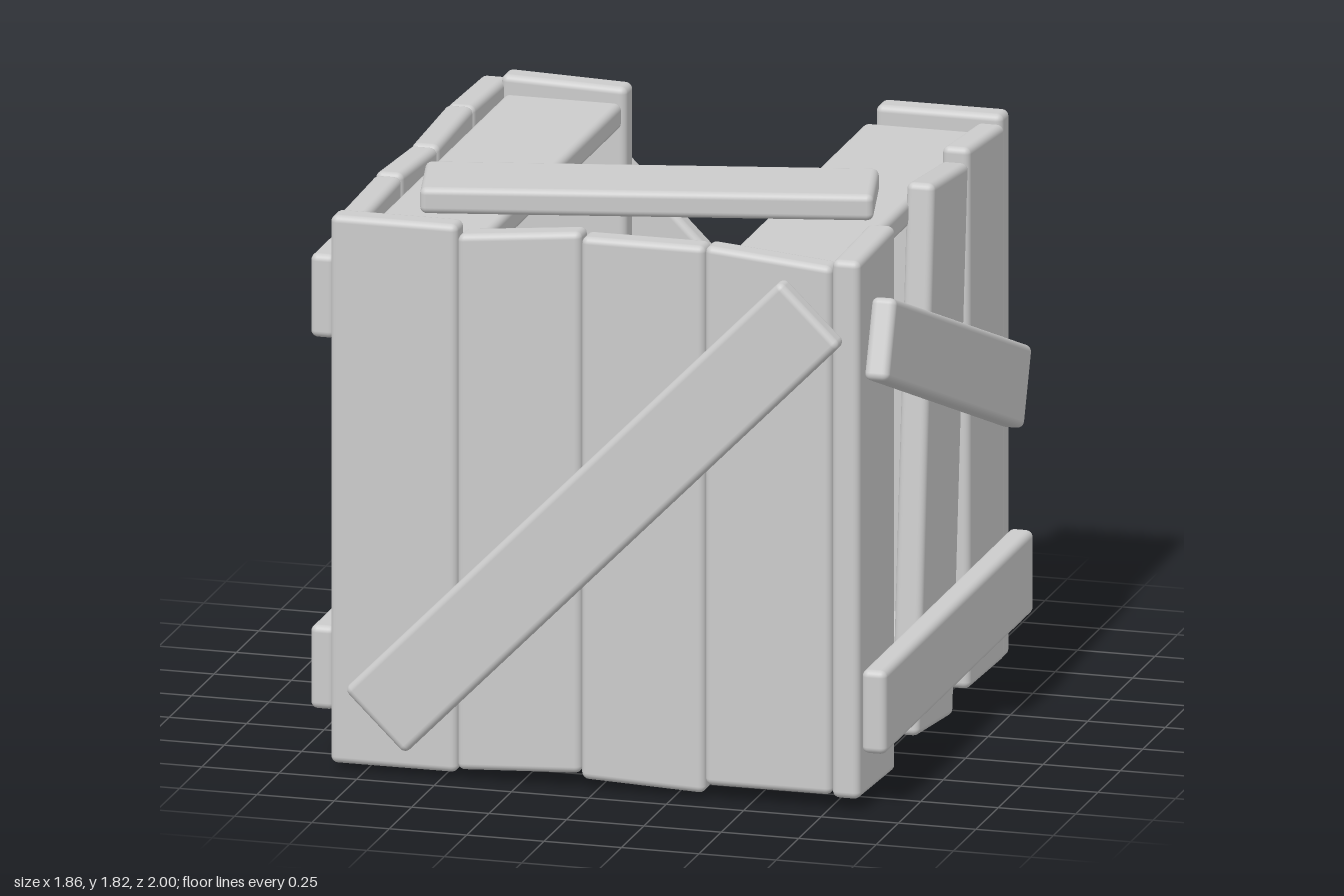
import * as THREE from 'three';
import { RoundedBoxGeometry } from 'three/addons/geometries/RoundedBoxGeometry.js';

const material = new THREE.MeshStandardMaterial({ color: 0xcccccc });
const T = 0.09; // plank thickness

function addMesh(parent, name, geometry) {
  const mesh = new THREE.Mesh(geometry, material);
  mesh.name = name;
  parent.add(mesh);
  return mesh;
}

// Rounded board centred at x, y, z; topSlope and bottomSlope skew its ends
function board(parent, name, [x, y, z], [w, h, t], rot = 0, topSlope = 0, bottomSlope = 0) {
  const geometry = new RoundedBoxGeometry(w, h, t, 3, 0.022);
  const p = geometry.attributes.position;
  for (let i = 0; i < p.count; i++) {
    const slope = p.getY(i) > 0 ? topSlope : bottomSlope;
    p.setY(i, p.getY(i) + slope * p.getX(i));
  }
  const mesh = addMesh(parent, name, geometry);
  mesh.position.set(x, y, z);
  mesh.rotation.z = rot;
  return mesh;
}

// Upright plank given by its edges, outer face at local z = 0
function plank(parent, x0, x1, y0, y1, top = 0, bottom = 0, rot = 0) {
  return board(parent, 'plank', [(x0 + x1) / 2, (y0 + y1) / 2, -T / 2], [x1 - x0, y1 - y0, T], rot, top, bottom);
}

// Snapped plank with a splintered upper end
function brokenPlank(parent, x0, x1, y0, teeth) {
  const b = 0.015;
  const shape = new THREE.Shape();
  shape.moveTo(x0 + b, y0 + b);
  shape.lineTo(x1 - b, y0 + b);
  const n = teeth.length - 1;
  for (let i = n; i >= 0; i--) {
    shape.lineTo(x0 + b + (x1 - x0 - 2 * b) * i / n, teeth[i]);
  }
  const geometry = new THREE.ExtrudeGeometry(shape, {
    depth: T - 2 * b, bevelThickness: b, bevelSize: b, bevelSegments: 2,
  });
  geometry.translate(0, 0, b - T);
  return addMesh(parent, 'brokenPlank', geometry);
}

// Wall group: local x runs along the wall, local z points outward
function wall(parent, name, x, z, turn) {
  const group = new THREE.Group();
  group.name = name;
  group.position.set(x, 0, z);
  group.rotation.y = turn;
  parent.add(group);
  return group;
}

export function createModel() {
  const crate = new THREE.Group();
  crate.name = 'brokenCrate';

  // Front wall with diagonal brace
  const front = wall(crate, 'frontWall', 0, 0.92, 0);
  plank(front, -0.86, -0.45, 0.02, 1.79);
  plank(front, -0.45, -0.05, 0.04, 1.78, 0.1, 0.05);
  plank(front, -0.05, 0.35, 0.025, 1.785, 0, -0.04);
  plank(front, 0.35, 0.76, 0.045, 1.77, -0.09, 0);
  board(front, 'diagonalBrace', [0.005, 0.9, 0.033], [2.01, 0.275, 0.075], 0.794);

  // Right-hand wall in the side drawing: one plank missing, one slipped
  const left = wall(crate, 'leftWall', 0.85, 0, Math.PI / 2);
  plank(left, -0.92, -0.51, 0.03, 1.78, 0.02, -0.04);
  plank(left, -0.175, 0.225, 0.035, 1.78, 0, 0, -0.1);
  plank(left, 0.31, 0.71, 0.045, 1.785, -0.08, -0.03);
  board(left, 'lowerBatten', [-0.06, 0.315, 0.037], [1.66, 0.27, 0.08]);
  board(left, 'slippedBatten', [-0.055, 1.215, 0.037], [1.64, 0.26, 0.08], -0.363);

  // Intact wall with two level battens
  const right = wall(crate, 'rightWall', -0.86, 0, -Math.PI / 2);
  [[-0.78, 0.03], [-0.38, -0.05], [0.02, 0.06], [0.42, -0.03]].forEach(([x, slope], i) => {
    plank(right, x, x + (i === 3 ? 0.41 : 0.4), 0.03, 1.78, slope, -slope);
  });
  for (const y of [0.315, 1.515]) {
    board(right, 'batten', [0.055, y, 0.035], [1.66, 0.27, 0.08]);
  }

  // Back wall: two snapped planks behind a diagonal brace
  const back = wall(crate, 'backWall', 0, -0.8, Math.PI);
  plank(back, -0.84, -0.43, 0.03, 1.795);
  brokenPlank(back, -0.43, -0.03, 0.04, [0.83, 0.93, 0.84, 0.96, 0.86, 0.98, 0.88, 0.95, 0.86]);
  brokenPlank(back, -0.03, 0.37, 0.03, [1.0, 1.1, 1.03, 1.15, 1.08, 1.17, 1.1, 1.2, 1.14]);
  plank(back, 0.375, 0.78, 0.03, 1.79, 0.03);
  board(back, 'diagonalBrace', [-0.03, 0.9, 0.033], [2.0, 0.275, 0.075], 0.785);

  // Floor boards on two runners
  const floor = new THREE.Group();
  floor.name = 'floor';
  crate.add(floor);
  for (let i = 0; i < 4; i++) {
    board(floor, 'floorBoard', [-0.585 + i * 0.39, 0.125, 0.055], [0.39, 0.085, 1.56]);
  }
  for (const z of [0.465, -0.31]) {
    board(floor, 'runner', [0, 0.042, z], [1.42, 0.084, 0.32]);
  }

  // Remaining lid boards and the skewed lid batten
  const lid = new THREE.Group();
  lid.name = 'lid';
  crate.add(lid);
  for (const s of [-1, 1]) {
    board(lid, 'lidBoard', [s * 0.58, 1.692, 0.055], [0.38, 0.085, 1.56]);
  }
  const lidBatten = board(lid, 'lidBatten', [0.005, 1.778, 0.34], [1.41, 0.085, 0.32]);
  lidBatten.rotation.y = 0.223;

  // Fallen board leaning from the floor out through the back
  const fallen = board(crate, 'fallenBoard', [0.225, 0.69, -0.29], [0.41, 1.6, 0.085]);
  const along = new THREE.Vector3(0.024, 0.584, -0.811).normalize();
  const across = new THREE.Vector3(0.37, -0.21, -0.13);
  across.addScaledVector(along, -across.dot(along)).normalize();
  const normal = new THREE.Vector3().crossVectors(across, along);
  fallen.quaternion.setFromRotationMatrix(new THREE.Matrix4().makeBasis(across, along, normal));

  return crate;
}
